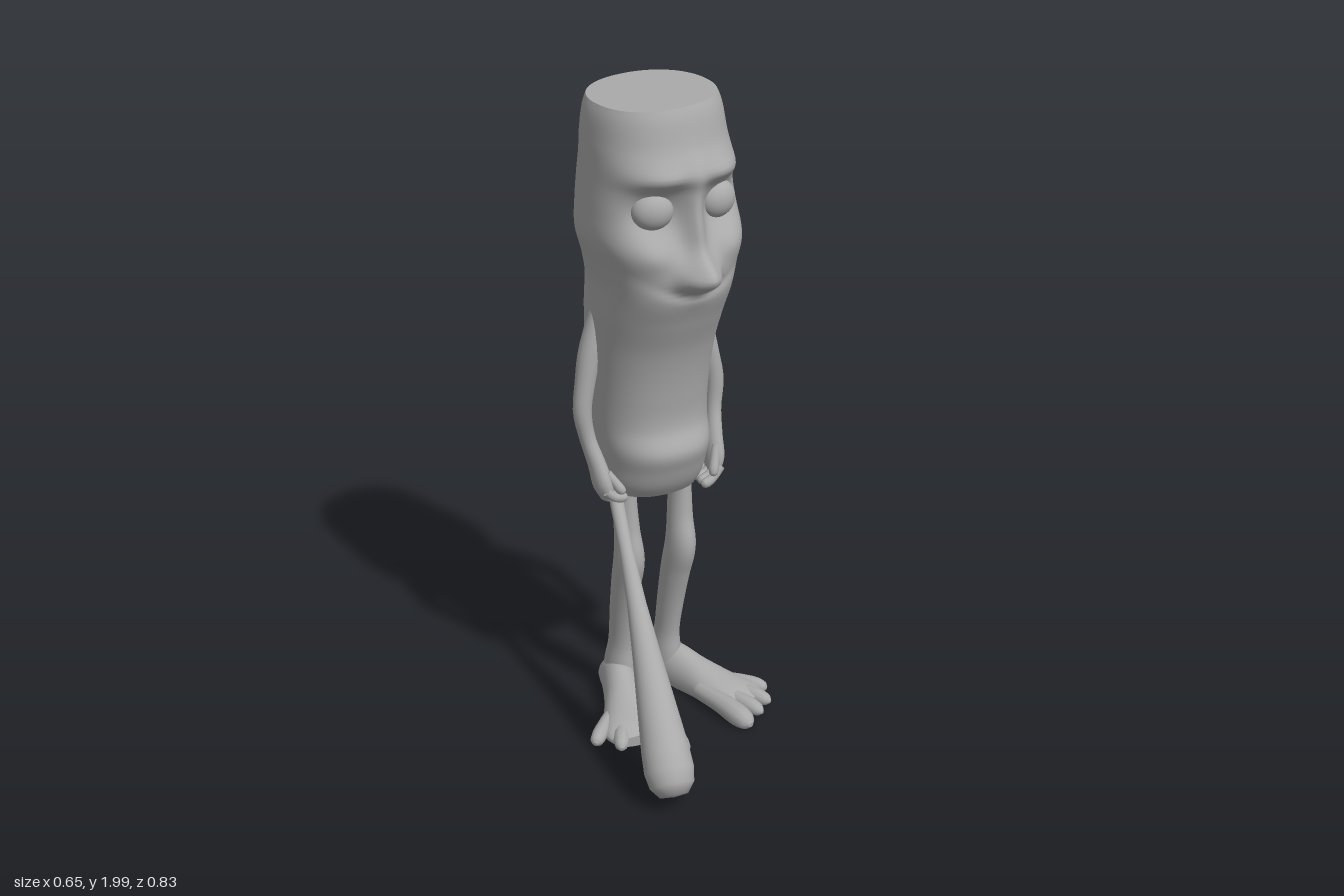
import * as THREE from 'three';

const skin = new THREE.MeshStandardMaterial({ color: 0xaaaaaa });
skin.name = 'plain grey';
const Y = new THREE.Vector3(0, 1, 0), Z = new THREE.Vector3(0, 0, 1);

// Skin over closed rings of points, with sharp flat caps at both ends
function loft(name, rings) {
  const n = rings[0].length, pos = [], idx = [];
  const add = (p) => pos.push(p.x, p.y, p.z) / 3 - 1;
  rings.forEach((r) => r.forEach(add));
  for (let i = 0; i < rings.length - 1; i++) for (let j = 0; j < n; j++) {
    const k = (j + 1) % n, a = i * n + j, b = i * n + k;
    idx.push(a, b, b + n, a, b + n, a + n);
  }
  [rings[0], rings[rings.length - 1]].forEach((ring, end) => {
    const mid = new THREE.Vector3();
    ring.forEach((p) => mid.addScaledVector(p, 1 / n));
    const c = add(mid), ids = ring.map(add);
    ids.forEach((a, j) => {
      const b = ids[(j + 1) % n];
      if (end) idx.push(c, a, b); else idx.push(c, b, a);
    });
  });
  const g = new THREE.BufferGeometry();
  g.setAttribute('position', new THREE.Float32BufferAttribute(pos, 3));
  g.setIndex(idx);
  g.computeVertexNormals();
  const mesh = new THREE.Mesh(g, skin);
  mesh.name = name;
  return mesh;
}

// Elliptical sweep through stations [x, y, z, radius across, radius along ref]
function sweep(name, stations, ref = Z, steps = 24, sides = 16, floor = -1) {
  const path = new THREE.CatmullRomCurve3(stations.map((s) => new THREE.Vector3(s[0], s[1], s[2])));
  const size = new THREE.CatmullRomCurve3(stations.map((s, i) => new THREE.Vector3(s[3], s[4] ?? s[3], i)));
  const rings = [];
  for (let i = 0; i <= steps; i++) {
    const t = i / steps, p = path.getPoint(t), r = size.getPoint(t), T = path.getTangent(t);
    const S = T.clone().cross(ref).normalize(), U = T.clone().cross(S);
    rings.push(Array.from({ length: sides }, (_, j) => {
      const a = (j / sides) * Math.PI * 2;
      const q = p.clone().addScaledVector(S, Math.cos(a) * r.x).addScaledVector(U, Math.sin(a) * r.y);
      q.y = Math.max(q.y, floor);
      return q;
    }));
  }
  return loft(name, rings);
}

// Rounded finger or toe between two points
function digit(name, a, b, r, ref, floor, bend = 0) {
  const at = (t, k) => [0, 1, 2].map((i) => a[i] + (b[i] - a[i]) * t + (i === 1 ? bend * Math.sin(t * Math.PI) : 0)).concat(r * k);
  return sweep(name, [at(0, 0.9), at(0.4, 0.95), at(0.75, 1.05), at(0.93, 0.8), at(1, 0.25)], ref, 12, 10, floor);
}

// Torso and head in one column: y, right x, left x, front z, back z
const column = [
  [0.765, -0.132, 0.162, -0.105, -0.395], [0.8, -0.145, 0.172, -0.08, -0.404],
  [0.86, -0.15, 0.177, -0.055, -0.405], [0.92, -0.155, 0.18, -0.037, -0.403],
  [0.99, -0.16, 0.185, -0.064, -0.403], [1.1, -0.165, 0.187, -0.058, -0.405],
  [1.25, -0.175, 0.195, -0.025, -0.41], [1.36, -0.18, 0.2, 0.02, -0.412],
  [1.45, -0.18, 0.205, 0.055, -0.412], [1.52, -0.192, 0.22, 0.05, -0.413],
  [1.6, -0.212, 0.238, 0.035, -0.414], [1.68, -0.208, 0.233, 0.03, -0.415],
  [1.76, -0.2, 0.222, 0.035, -0.414], [1.82, -0.195, 0.215, 0.048, -0.41],
  [1.88, -0.19, 0.21, 0.022, -0.404], [1.98, -0.176, 0.196, -0.005, -0.39],
  [2.0, -0.168, 0.188, -0.015, -0.383],
];
// Face relief: x, y, spread x, spread y, depth
const relief = [
  [0.012, 1.525, 0.036, 0.036, 0.085], [0.015, 1.66, 0.022, 0.085, 0.045],
  [-0.03, 1.515, 0.018, 0.018, 0.022], [0.058, 1.515, 0.018, 0.018, 0.022],
];
for (const s of [-1, 1]) {
  const x = 0.015 + s * 0.105;
  relief.push([x, 1.8, 0.055, 0.02, 0.022], [x, 1.7, 0.055, 0.05, -0.045], [x + s * 0.03, 1.585, 0.05, 0.035, 0.022]);
}
const bell = (d, s) => Math.exp(-0.5 * (d / s) ** 2);

function makeBody() {
  const at = new THREE.CubicInterpolant(column.map((k) => k[0]), column.flatMap((k) => k.slice(1)), 4);
  const rings = [], rows = 100, cols = 120;
  for (let i = 0; i <= rows; i++) {
    const y = 0.765 + (2 - 0.765) * (i / rows);
    const [xl, xr, zf, zb] = at.evaluate(y);
    const cx = (xl + xr) / 2, w = (xr - xl) / 2, cz = (zf + zb) / 2, d = (zf - zb) / 2;
    const square = 2.3 + 0.6 * bell(y - 1.6, 0.13);
    rings.push(Array.from({ length: cols }, (_, j) => {
      const a = (j / cols) * Math.PI * 2, c = Math.cos(a), s = -Math.sin(a);
      const n = s > 0 ? square : 2.15;
      const r = (Math.abs(c) ** n + Math.abs(s) ** n) ** (-1 / n);
      const x = cx + w * c * r;
      let z = cz + d * s * r;
      if (s > 0) {
        const front = THREE.MathUtils.smoothstep(s, 0.1, 0.6);
        for (const [rx, ry, sx, sy, h] of relief) z += front * h * bell(x - rx, sx) * bell(y - ry, sy);
        // smiling mouth crease
        z -= front * 0.016 * bell(x - 0.012, 0.07) * bell(y - 1.462 - 2 * (x - 0.012) ** 2, 0.011);
      }
      const tilt = THREE.MathUtils.smoothstep(y, 1.85, 2) * 0.05 * (x - 0.19);
      return new THREE.Vector3(x, y + tilt, z);
    }));
  }
  return loft('body', rings);
}

export function createModel() {
  const model = new THREE.Group();
  model.add(makeBody());

  // Closed bulging eyes
  for (const s of [-1, 1]) {
    const lid = new THREE.Mesh(new THREE.SphereGeometry(1, 28, 20), skin);
    lid.name = 'eyelid';
    lid.scale.set(0.062, 0.056, 0.046);
    lid.position.set(0.015 + s * 0.105, 1.705, -0.025);
    lid.rotation.y = s * 0.25;
    model.add(lid);
  }

  // Arms
  model.add(sweep('leftArm', [
    [0.175, 1.36, -0.23, 0.02, 0.025], [0.2, 1.23, -0.235, 0.036, 0.034], [0.228, 1.13, -0.232, 0.031, 0.031],
    [0.245, 1.04, -0.228, 0.029, 0.028], [0.238, 0.95, -0.222, 0.024, 0.026], [0.225, 0.87, -0.2, 0.026, 0.034],
    [0.218, 0.81, -0.185, 0.027, 0.043], [0.21, 0.765, -0.18, 0.018, 0.036]]));
  model.add(sweep('rightArm', [
    [-0.155, 1.36, -0.23, 0.02, 0.025], [-0.18, 1.23, -0.235, 0.034, 0.034], [-0.2, 1.13, -0.232, 0.031, 0.031],
    [-0.213, 1.04, -0.228, 0.028, 0.028], [-0.2, 0.95, -0.222, 0.024, 0.026], [-0.182, 0.87, -0.2, 0.026, 0.034],
    [-0.172, 0.81, -0.185, 0.028, 0.043], [-0.16, 0.765, -0.18, 0.018, 0.034]]));

  // Fingers: left curls under, right wraps the club handle
  for (let i = 0; i < 4; i++) {
    const z = -0.15 - i * 0.021;
    model.add(digit('leftFinger', [0.222, 0.785, z], [0.15, 0.742 + i * 0.004, z + 0.005], 0.015, Z, -1, -0.014));
    model.add(digit('rightFinger', [-0.18, 0.8, z], [-0.112, 0.775 + i * 0.008, z + 0.005], 0.015, Z, -1, -0.014));
  }
  model.add(digit('leftThumb', [0.215, 0.85, -0.17], [0.185, 0.765, -0.135], 0.015, Z, -1));
  model.add(digit('rightThumb', [-0.165, 0.85, -0.17], [-0.125, 0.785, -0.14], 0.015, Z, -1));

  // Legs and feet; toe tips run from the big toe outward
  const feet = [
    ['left', 1, 0.113, 0.098, [[0.16, 0.135], [0.23, 0.092], [0.285, 0.052], [0.318, -0.02]]],
    ['right', -1, -0.08, -0.07, [[-0.092, 0.162], [-0.17, 0.12], [-0.25, 0.045], [-0.305, -0.02]]],
  ];
  for (const [side, s, hip, ankle, toes] of feet) {
    const mix = (t) => hip + (ankle - hip) * t;
    model.add(sweep(side + 'Leg', [
      [hip, 0.82, -0.22, 0.034, 0.046], [hip, 0.72, -0.215, 0.034, 0.044], [mix(0.2), 0.62, -0.208, 0.038, 0.047],
      [mix(0.4), 0.53, -0.2, 0.043, 0.06], [mix(0.6), 0.44, -0.222, 0.043, 0.056], [mix(0.8), 0.32, -0.248, 0.04, 0.05],
      [ankle, 0.2, -0.268, 0.037, 0.048], [ankle, 0.12, -0.278, 0.045, 0.06], [ankle, 0.05, -0.285, 0.045, 0.062]],
    Z, 40, 20, 0.01));
    const mx = (toes[0][0] + toes[3][0]) / 2 - s * 0.015, along = (t) => ankle + (mx - ankle) * t;
    model.add(sweep(side + 'Foot', [
      [along(-0.04), 0.035, -0.358, 0.02, 0.025], [along(0), 0.05, -0.33, 0.045, 0.05], [along(0.1), 0.06, -0.27, 0.054, 0.08],
      [along(0.35), 0.045, -0.19, 0.06, 0.075], [along(0.65), 0.035, -0.1, 0.075, 0.056],
      [along(0.9), 0.03, -0.02, 0.088, 0.038], [along(1), 0.027, 0.03, 0.065, 0.018]],
    Y, 30, 24, 0.01));
    toes.forEach(([x, z], i) => {
      const root = [along(0.6) + s * (i - 1.5) * 0.035, 0.042, -0.1 - i * 0.008];
      model.add(digit(side + 'Toe', root, [x, 0.028, z], i ? 0.026 - i * 0.001 : 0.034, Y, 0.01, 0.006));
    });
  }

  // Club resting from the right hand, forward to the ground
  const grip = new THREE.Vector3(-0.122, 0.83, -0.228), tip = new THREE.Vector3(-0.268, 0.06, 0.387);
  const length = grip.distanceTo(tip);
  const profile = [[0, 0], [0.024, 0.003], [0.026, 0.02], [0.021, 0.06], [0.021, 0.25], [0.029, 0.42], [0.043, 0.58],
    [0.059, 0.74], [0.071, 0.86], [0.074, 0.92], [0.066, 0.965], [0.042, 0.995], [0, 1]];
  const club = new THREE.Mesh(new THREE.LatheGeometry(
    profile.map(([r, t]) => new THREE.Vector2(r, t * length)), 28), skin);
  club.name = 'club';
  club.position.copy(grip);
  club.quaternion.setFromUnitVectors(Y, tip.clone().sub(grip).normalize());
  model.add(club);
  return model;
}
